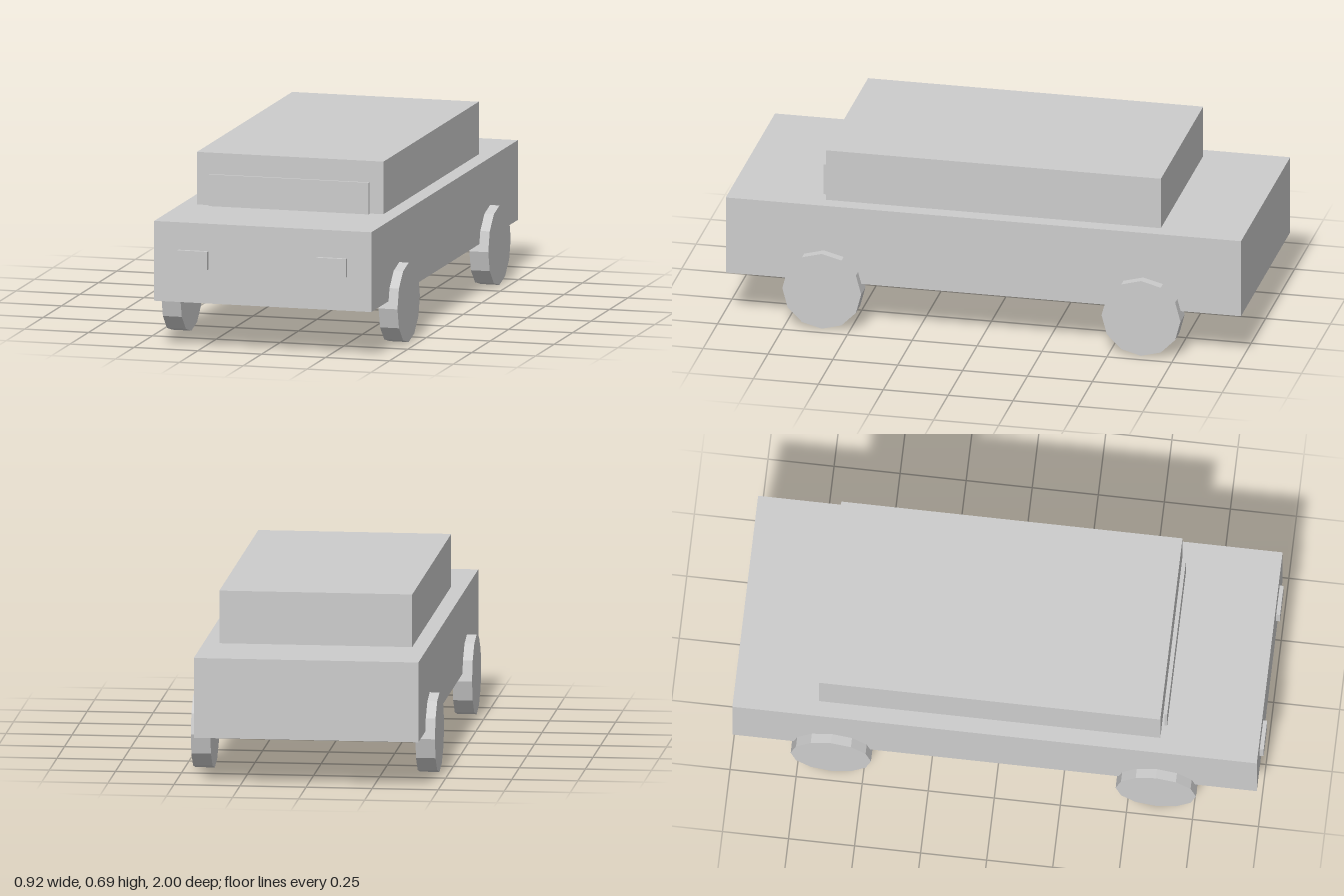
import * as THREE from 'three';

export function createModel() {
  const car = new THREE.Group();
  car.name = 'car';
  const grey = new THREE.MeshStandardMaterial({ color: 0xcccccc });
  grey.name = 'light grey';

  // Box given by its low and high limits on each axis
  function box(name, [x0, x1], [y0, y1], [z0, z1]) {
    const mesh = new THREE.Mesh(new THREE.BoxGeometry(x1 - x0, y1 - y0, z1 - z0), grey);
    mesh.position.set((x0 + x1) / 2, (y0 + y1) / 2, (z0 + z1) / 2);
    mesh.name = name;
    car.add(mesh);
  }

  box('body', [-0.425, 0.425], [0.18, 0.485], [-1, 0.985]);
  box('cabin', [-0.365, 0.365], [0.485, 0.686], [-0.678, 0.613]);
  // Windscreen stands just ahead of the cabin
  box('windscreen', [-0.313, 0.313], [0.48, 0.606], [0.623, 0.633]);
  box('leftHeadlight', [0.213, 0.33], [0.31, 0.38], [0.98, 1]);
  box('rightHeadlight', [-0.33, -0.213], [0.31, 0.38], [0.98, 1]);

  // Twelve-sided wheels, faceted, with their axles along x
  const wheelGeometry = new THREE.CylinderGeometry(0.152, 0.152, 0.074, 12).toNonIndexed();
  wheelGeometry.computeVertexNormals();
  wheelGeometry.rotateZ(Math.PI / 2);
  for (const [end, z] of [['front', 0.607], ['rear', -0.623]]) {
    for (const [side, sign] of [['Left', 1], ['Right', -1]]) {
      const wheel = new THREE.Mesh(wheelGeometry, grey);
      wheel.position.set(sign * 0.425, 0.152, z);
      wheel.name = `${end}${side}Wheel`;
      car.add(wheel);
    }
  }
  return car;
}
